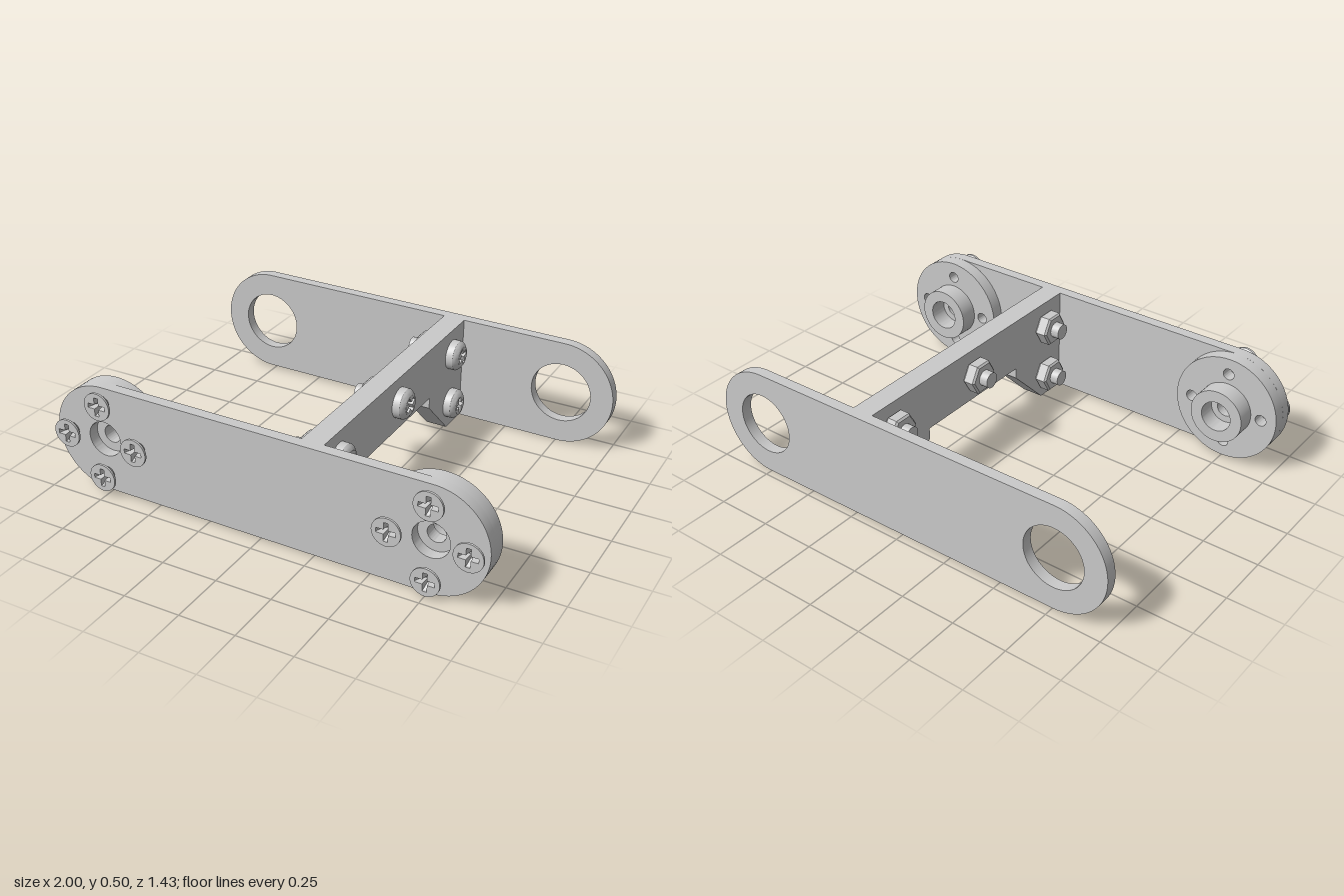
import * as THREE from 'three';
import { toCreasedNormals } from 'three/addons/utils/BufferGeometryUtils.js';

const R = 0.2435;        // plate end radius
const END = 0.7565;      // plate end centres
const steel = new THREE.MeshStandardMaterial({ color: 0xcacaca });
steel.name = 'steelGrey';

function mesh(name, geometry, parent, x = 0, y = 0, z = 0) {
  const m = new THREE.Mesh(toCreasedNormals(geometry, 0.4), steel);
  m.name = name;
  m.position.set(x, y, z);
  parent.add(m);
  return m;
}

function circle(r, x = 0, y = 0, Type = THREE.Shape) {
  return new Type().absarc(x, y, r, 0, Math.PI * 2, false);
}

function extrude(shape, depth, curveSegments = 32, steps = 1) {
  return new THREE.ExtrudeGeometry(shape, { depth, curveSegments, steps, bevelEnabled: false });
}

// Solid of revolution along +z, profile given as [radius, z] pairs
function turned(profile, sides = 36) {
  const g = new THREE.LatheGeometry(profile.map(([r, z]) => new THREE.Vector2(r, z)), sides);
  return g.rotateX(Math.PI / 2);
}

// Cross-shaped driver recess
function cross(l, w) {
  const pts = [];
  for (let i = 0; i < 4; i++) {
    const c = Math.round(Math.cos(i * Math.PI / 2)), s = Math.round(Math.sin(i * Math.PI / 2));
    for (const [x, y] of [[l, -w], [l, w], [w, w]]) pts.push(new THREE.Vector2(x * c - y * s, x * s + y * c));
  }
  return new THREE.Path(pts);
}

// Long plate with round ends and a hole at each end
function plate(holeRadius) {
  const s = new THREE.Shape();
  s.absarc(END, 0, R, -Math.PI / 2, Math.PI / 2, false);
  s.absarc(-END, 0, R, Math.PI / 2, Math.PI * 1.5, false);
  s.closePath();
  for (const x of [-END, END]) s.holes.push(circle(holeRadius, x, 0, THREE.Path));
  return extrude(s, 0.05);
}

// Countersunk head: a thin rim, tapering towards the plate
function countersunkHead() {
  const depth = 0.04;
  const s = circle(0.063);
  s.holes.push(cross(0.042, 0.01));
  const g = extrude(s, depth, 20, 4);
  const p = g.attributes.position;
  for (let i = 0; i < p.count; i++) {
    const k = Math.min(1, 0.55 + 0.6 * p.getZ(i) / depth);
    p.setXY(i, p.getX(i) * k, p.getY(i) * k);
  }
  return g;
}

// Flanged hub behind each end of the front plate
function hub() {
  const g = new THREE.Group();
  g.name = 'hub';
  const flange = circle(R);
  flange.holes.push(circle(0.04, 0, 0, THREE.Path));
  const spots = [[0.17, 0], [0, 0.17], [-0.17, 0], [0, -0.17]];
  for (const [x, y] of spots) flange.holes.push(circle(0.026, x, y, THREE.Path));
  mesh('hubFlange', extrude(flange, 0.06), g, 0, 0, 0.564);
  const boss = circle(0.123);
  boss.holes.push(circle(0.07, 0, 0, THREE.Path));
  mesh('hubBoss', extrude(boss, 0.085), g, 0, 0, 0.479);
  for (const [x, y] of spots) mesh('hubScrew', countersunkHead(), g, x, y, 0.674);
  return g;
}

// Pan-head bolt with hex nut; z = 0 is the head side of the web
function bolt(turn) {
  const g = new THREE.Group();
  g.name = 'webBolt';
  mesh('boltHead', turned([[0.068, 0], [0.068, 0.033], [0.062, 0.042], [0.054, 0.049], [0.045, 0.054]]), g);
  const cap = circle(0.045);
  cap.holes.push(cross(0.037, 0.01));
  mesh('boltHeadTop', extrude(cap, 0.035, 12), g, 0, 0, 0.02).rotation.z = turn;
  mesh('recessFloor', new THREE.CircleGeometry(0.045, 24), g, 0, 0, 0.022);
  const nut = turned([[0, -0.16], [0.068, -0.16], [0.077, -0.152], [0.077, -0.108], [0.068, -0.1], [0, -0.1]], 6);
  nut.rotateZ(Math.PI / 2);
  mesh('hexNut', nut, g);
  mesh('boltShaft', turned([[0, -0.2], [0.036, -0.2], [0.036, -0.15]], 24), g);
  return g;
}

export function createModel() {
  const model = new THREE.Group();
  model.name = 'bracketFrame';
  const body = new THREE.Group();
  body.name = 'body';
  body.position.y = 0.2505;
  body.rotation.z = -0.009;
  model.add(body);

  mesh('frontPlate', plate(0.08), body, 0, 0, 0.624);
  mesh('backPlate', plate(0.14), body, 0, 0, -0.717);

  for (const x of [-END, END]) {
    const h = hub();
    h.position.x = x;
    body.add(h);
  }

  // Connecting web with an arched underside, drawn in z and y
  const outline = [[0.624, R], [-0.667, R], [-0.667, -R], [-0.525, -R], [-0.325, -0.05],
    [-0.325, 0], [0.285, 0], [0.285, -0.05], [0.48, -R], [0.624, -R]];
  const web = new THREE.Shape(outline.map(([z, y]) => new THREE.Vector2(z, y)));
  mesh('web', extrude(web, 0.1), body, 0.27, 0, 0).rotation.y = -Math.PI / 2;

  // Bolts through the web
  const bolts = [[0.505, 0.125, 0.3], [-0.02, 0.125, 0.6], [-0.545, 0.125, 0.4], [0.505, -0.122, 0.3], [-0.545, -0.122, 0.1]];
  for (const [z, y, turn] of bolts) {
    const b = bolt(turn);
    b.position.set(0.27, y, z);
    b.rotation.y = Math.PI / 2;
    body.add(b);
  }
  return model;
}
